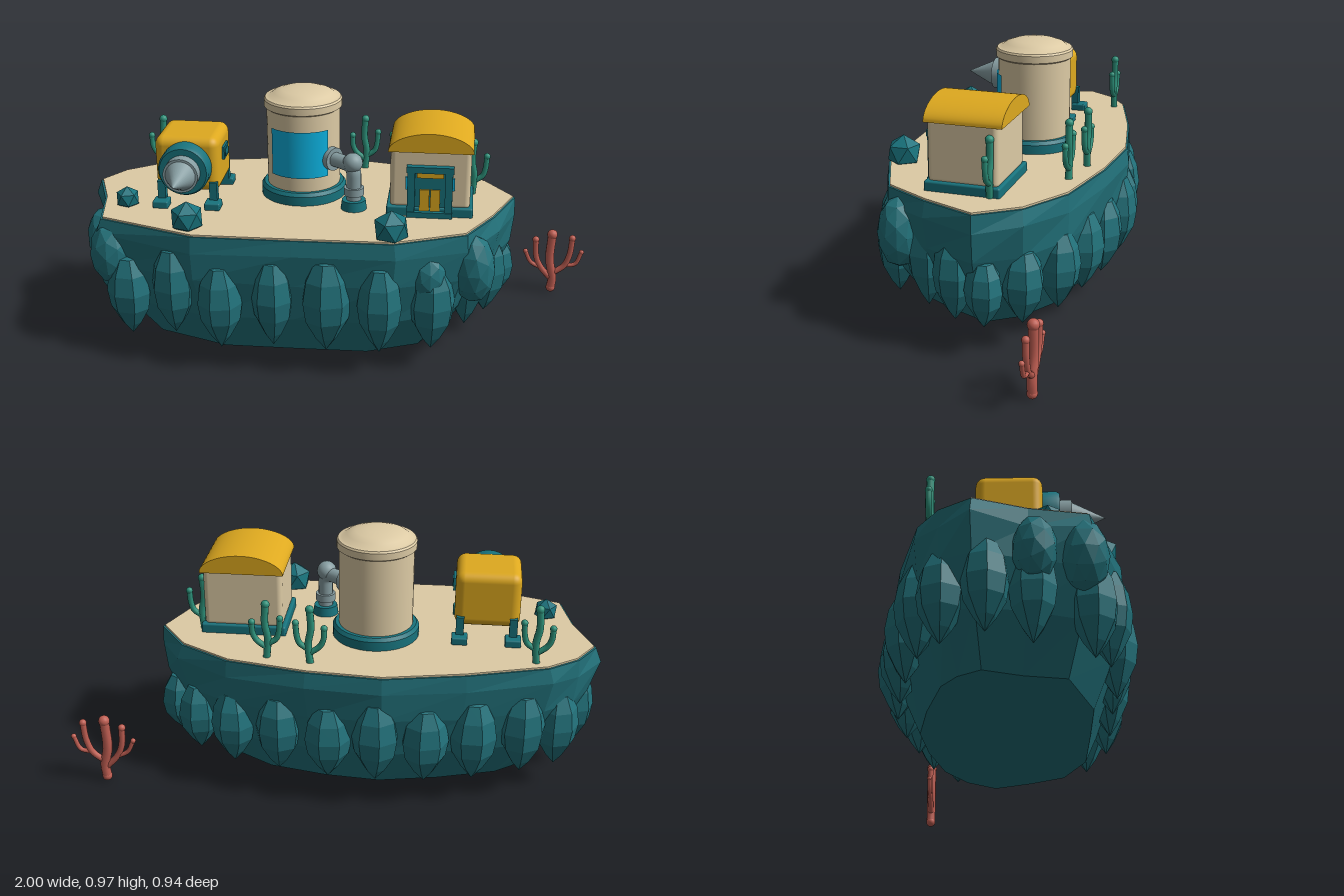
import * as THREE from 'three';
import { toCreasedNormals } from 'three/addons/utils/BufferGeometryUtils.js';
import { RoundedBoxGeometry } from 'three/addons/geometries/RoundedBoxGeometry.js';

const mat = (name, color) => Object.assign(new THREE.MeshStandardMaterial({ color }), { name });

export function createModel() {
  const M = {
    rock: mat('rock teal', 0x22717a), trim: mat('trim teal', 0x18737d),
    sand: mat('sand', 0xddcba5), yellow: mat('yellow', 0xdea91f),
    blue: mat('window blue', 0x0cb2e0), gray: mat('metal gray', 0x879ea2),
    green: mat('coral green', 0x2d927b), red: mat('coral red', 0xbf5e52),
  };
  const root = new THREE.Group();
  const group = (name, x = 0, y = 0, z = 0) => {
    const g = new THREE.Group();
    g.name = name;
    g.position.set(x, y, z);
    root.add(g);
    return g;
  };
  const add = (parent, name, geo, m, x = 0, y = 0, z = 0) => {
    const mesh = new THREE.Mesh(geo, m);
    mesh.name = name;
    mesh.position.set(x, y, z);
    parent.add(mesh);
    return mesh;
  };
  const box = (w, h, d) => new THREE.BoxGeometry(w, h, d);
  const cyl = (r0, r1, h, n = 32) => new THREE.CylinderGeometry(r0, r1, h, n);
  const lathe = (pts, n = 40) =>
    toCreasedNormals(new THREE.LatheGeometry(pts.map(p => new THREE.Vector2(...p)), n), 0.6);
  const facet = geo => {
    const g = geo.index ? geo.toNonIndexed() : geo;
    g.computeVertexNormals();
    return g;
  };

  // Island body: one outline scaled through several levels
  const CX = -0.15;
  const outline = [[-0.98, -0.1], [-0.91, -0.21], [-0.8, -0.29], [-0.5, -0.38], [-0.2, -0.44], [0.08, -0.42],
    [0.38, -0.36], [0.57, -0.25], [0.68, -0.1], [0.6, 0.1], [0.5, 0.28], [0.24, 0.39], [-0.13, 0.4],
    [-0.5, 0.405], [-0.87, 0.28], [-0.91, 0.08]];
  const N = outline.length;
  const levels = [[0.542, 1], [0.48, 1.015], [0.36, 0.985], [0.2, 0.9], [0.04, 0.735]];
  const rings = levels.map(([y, s], k) => outline.map(([x, z], i) => {
    const j = k === 0 || k === 4 ? 0 : 0.012 * Math.sin(i * 2.7 + k * 1.9);
    return [CX + (x - CX) * (s + j), y + (k === 0 ? 0 : j * 0.6), z * (s + j)];
  }));
  const tri = [];
  for (let i = 0; i < N; i++) {
    const n = (i + 1) % N;
    for (let k = 0; k < levels.length - 1; k++) {
      const a = rings[k], b = rings[k + 1];
      tri.push(b[n], b[i], a[i], b[n], a[i], a[n]);
    }
    tri.push([CX, 0.542, 0], rings[0][n], rings[0][i]);
    tri.push([CX, 0.036, 0], rings[4][i], rings[4][n]);
  }
  const body = new THREE.BufferGeometry();
  body.setAttribute('position', new THREE.Float32BufferAttribute(tri.flat(), 3));
  const island = group('island');
  add(island, 'islandBody', facet(body), M.rock);

  // Sand cover
  const sandShape = new THREE.Shape(outline.map(([x, z]) => new THREE.Vector2(CX + (x - CX) * 0.99, -z * 0.985)));
  const sandGeo = new THREE.ExtrudeGeometry(sandShape, { depth: 0.012, bevelEnabled: false });
  sandGeo.rotateX(-Math.PI / 2);
  add(island, 'sandTop', sandGeo, M.sand, 0, 0.537, 0);

  // Hanging rocks, blunt above and pointed below: x, z on the rim, centre height, half height, half width
  const shard = [[0, -1], [0.45, -0.7], [0.88, -0.3], [1, 0.1], [0.86, 0.55], [0.5, 0.92], [0, 1]]
    .map(p => new THREE.Vector2(...p));
  [[-0.81, 0.31, 0.24, 0.17, 0.09], [-0.61, 0.375, 0.3, 0.18, 0.085], [-0.42, 0.405, 0.255, 0.175, 0.085],
    [-0.21, 0.4, 0.28, 0.18, 0.08], [0, 0.4, 0.28, 0.19, 0.095], [0.21, 0.395, 0.27, 0.18, 0.085],
    [0.41, 0.32, 0.25, 0.17, 0.09], [0.54, 0.14, 0.295, 0.195, 0.085], [0.62, 0, 0.26, 0.165, 0.08],
    [0.66, -0.13, 0.23, 0.13, 0.07], [0.56, -0.25, 0.235, 0.145, 0.08], [0.4, -0.345, 0.25, 0.155, 0.085],
    [0.21, -0.39, 0.26, 0.16, 0.09], [0.01, -0.42, 0.25, 0.155, 0.09], [-0.18, -0.435, 0.27, 0.17, 0.09],
    [-0.37, -0.405, 0.25, 0.16, 0.09], [-0.56, -0.365, 0.26, 0.17, 0.09], [-0.75, -0.305, 0.27, 0.17, 0.09],
    [-0.89, -0.215, 0.25, 0.16, 0.085], [-0.96, -0.06, 0.26, 0.16, 0.08], [-0.91, 0.1, 0.25, 0.17, 0.08]]
    .forEach(([x, z, y, h, w], i) => {
      const rock = add(island, 'hangingRock', facet(new THREE.LatheGeometry(shard, 7, i * 0.4)), M.rock,
        CX + (x - CX) * 0.945, y, z * 0.935);
      rock.scale.set(w, h, 0.082);
      rock.rotation.y = Math.atan2((x - CX) / 0.69, z / 0.176);
    });

  // Rounded boulders under the rim
  [[-0.84, 0.4, 0.26, 0.085, 0.13], [0.53, 0.385, 0.23, 0.08, 0.135], [-0.91, 0.39, 0.1, 0.075, 0.12],
    [0.36, 0.38, 0.3, 0.07, 0.1]]
    .forEach(([x, y, z, r, h], i) => {
      const b = add(island, 'boulder', facet(new THREE.IcosahedronGeometry(1, 1)), M.rock, x, y, z);
      b.scale.set(r, h, r);
      b.rotation.y = i * 1.3;
    });

  // Loose stones on the sand, point up
  [[-0.525, 0.587, 0.333, 0.064], [0.225, 0.582, 0.333, 0.069], [-0.8, 0.575, 0.145, 0.047]]
    .forEach(([x, y, z, r]) => add(island, 'stone', new THREE.IcosahedronGeometry(r, 0), M.trim, x, y, z)
      .geometry.rotateZ(0.5536));

  // Storage tower
  const tower = group('tower', -0.147, 0, -0.07);
  add(tower, 'towerBase', lathe([[0, 0.54], [0.165, 0.54], [0.165, 0.585], [0.155, 0.598], [0, 0.598]]), M.trim);
  add(tower, 'towerBody', lathe([[0.141, 0.59], [0.141, 0.9], [0.15, 0.906], [0.15, 0.933], [0.145, 0.94],
    [0.13, 0.942], [0.112, 0.956], [0.08, 0.967], [0.04, 0.972], [0, 0.973]], 48), M.sand);
  const pane = new THREE.CylinderGeometry(0.147, 0.147, 0.185, 24, 1, true, -0.82, 1.64);
  M.blue.side = THREE.DoubleSide;
  add(tower, 'towerWindow', pane, M.blue, 0, 0.747, 0);

  // Outlet pipe leaving the tower and bending down to the ground
  const pipe = group('pipe');
  const start = new THREE.Vector3(-0.04, 0.72, 0.005), end = new THREE.Vector3(0.065, 0.72, 0.085);
  const dir = end.clone().sub(start).normalize();
  const bend = new THREE.CurvePath();
  const near = end.clone().addScaledVector(dir, -0.04), down = end.clone().setY(0.68);
  bend.add(new THREE.LineCurve3(start, near));
  bend.add(new THREE.QuadraticBezierCurve3(near, end, down));
  bend.add(new THREE.LineCurve3(down, end.clone().setY(0.56)));
  add(pipe, 'pipeTube', new THREE.TubeGeometry(bend, 40, 0.028, 16), M.gray);
  const flange = add(pipe, 'pipeFlange', cyl(0.045, 0.045, 0.025), M.gray);
  flange.position.copy(start).addScaledVector(dir, 0.02);
  flange.quaternion.setFromUnitVectors(new THREE.Vector3(0, 1, 0), dir);
  add(pipe, 'pipeElbow', new THREE.SphereGeometry(0.038, 20, 14), M.gray, 0.06, 0.73, 0.081);
  add(pipe, 'pipeCollar', cyl(0.038, 0.038, 0.03), M.gray, 0.065, 0.62, 0.085);
  add(pipe, 'pipeFoot', cyl(0.045, 0.05, 0.04), M.trim, 0.065, 0.565, 0.085);

  // House
  const house = group('house', 0.354, 0, 0);
  add(house, 'houseBase', new RoundedBoxGeometry(0.325, 0.045, 0.285, 2, 0.008), M.trim, 0, 0.563, -0.005);
  add(house, 'houseWalls', new RoundedBoxGeometry(0.3, 0.24, 0.265, 3, 0.02), M.sand, 0, 0.695, -0.005);
  const arch = new THREE.Shape();
  arch.moveTo(-0.158, 0.8);
  arch.lineTo(0.158, 0.8);
  arch.bezierCurveTo(0.162, 0.835, 0.09, 0.874, 0, 0.874);
  arch.bezierCurveTo(-0.09, 0.874, -0.162, 0.835, -0.158, 0.8);
  const roof = new THREE.ExtrudeGeometry(arch, { depth: 0.29, bevelEnabled: false, curveSegments: 14 });
  add(house, 'houseRoof', toCreasedNormals(roof, 0.6), M.yellow, 0, 0, -0.155);

  // Doorway: recessed panel, posts, lintel, side lights and door leaves
  add(house, 'doorPanel', box(0.14, 0.18, 0.012), M.trim, 0, 0.64, 0.126);
  for (const s of [-1, 1]) {
    add(house, 'doorPost', box(0.028, 0.18, 0.024), M.trim, s * 0.07, 0.635, 0.138);
    add(house, 'doorLight', box(0.009, 0.048, 0.012), M.blue, s * 0.087, 0.678, 0.132);
    add(house, 'doorLeaf', box(0.036, 0.085, 0.008), M.yellow, s * 0.02, 0.613, 0.134);
  }
  add(house, 'doorLintel', box(0.175, 0.024, 0.03), M.trim, 0, 0.738, 0.138);
  add(house, 'doorTransom', box(0.1, 0.022, 0.008), M.yellow, 0, 0.713, 0.134);
  add(house, 'doorStep', box(0.17, 0.025, 0.02), M.trim, 0, 0.558, 0.145);

  // Drilling machine
  const drill = group('drillMachine', -0.567, 0, 0);
  add(drill, 'machineBody', new RoundedBoxGeometry(0.246, 0.215, 0.235, 4, 0.035), M.yellow, 0, 0.712, 0.012);
  for (const sx of [-1, 1]) {
    for (const z of [-0.12, 0.145]) {
      add(drill, 'machineLeg', box(0.03, 0.085, 0.03), M.trim, sx * 0.1, 0.605, z * 0.85);
      add(drill, 'machineFoot', new RoundedBoxGeometry(0.06, 0.03, 0.06, 2, 0.006), M.trim, sx * 0.1, 0.562, z);
    }
  }
  add(drill, 'sideHatch', box(0.014, 0.05, 0.075), M.trim, 0.125, 0.738, 0.02);
  add(drill, 'sideHatchPanel', box(0.004, 0.028, 0.05), M.trim, 0.133, 0.738, 0.02);
  const bit = new THREE.Group();
  bit.name = 'drillBit';
  bit.position.set(0, 0.708, 0);
  bit.rotation.x = Math.PI / 2;
  drill.add(bit);
  add(bit, 'drillRing', lathe([[0, 0.12], [0.097, 0.12], [0.097, 0.178], [0.09, 0.19], [0, 0.19]]), M.trim);
  add(bit, 'drillCollar', cyl(0.066, 0.066, 0.045), M.gray, 0, 0.21, 0);
  add(bit, 'drillCone', new THREE.ConeGeometry(0.058, 0.123, 32), M.gray, 0, 0.292, 0);

  // Branching corals, flat in z: each branch is [radius, ...points]
  const branches = [
    [0.021, [0, 0.02], [0.004, 0.07], [-0.012, 0.15], [-0.008, 0.266]],
    [0.014, [0, 0.06], [-0.045, 0.11], [-0.068, 0.16], [-0.075, 0.24]],
    [0.014, [0, 0.085], [0.05, 0.125], [0.07, 0.18], [0.076, 0.252]],
    [0.01, [-0.045, 0.11], [-0.09, 0.135], [-0.115, 0.185]],
    [0.01, [0.05, 0.125], [0.095, 0.135], [0.118, 0.19]],
  ];
  const coral = (name, m, x, y, z, side, list) => {
    const g = group(name, x, y, z);
    list.forEach(([r, ...pts]) => {
      const path = new THREE.CatmullRomCurve3(pts.map(([px, py]) => new THREE.Vector3(px * side, py, 0)));
      add(g, 'coralBranch', new THREE.TubeGeometry(path, 16, r * 0.88, 10), m);
      const tip = path.getPoint(1), foot = path.getPoint(0);
      add(g, 'coralTip', new THREE.SphereGeometry(r * 1.04, 14, 10), m, tip.x, tip.y, 0);
      add(g, 'coralJoint', new THREE.SphereGeometry(r * 0.94, 14, 10), m, foot.x, foot.y, 0);
    });
  };
  coral('redCoral', M.red, 0.868, 0, -0.377, 1, branches);
  const small = [
    [0.0155, [0, 0], [0.006, 0.08], [-0.004, 0.14], [0, 0.215]],
    [0.0125, [0.003, 0.04], [-0.036, 0.07], [-0.05, 0.1], [-0.052, 0.142]],
    [0.0125, [0.004, 0.055], [0.038, 0.08], [0.048, 0.11], [0.052, 0.16]],
  ];
  [[-0.75, -0.255, 1], [0.07, -0.345, 1], [0.235, -0.318, -1], [0.512, -0.11, 1]].forEach(([x, z, s]) =>
    coral('greenCoral', M.green, x, 0.545, z, s, small));
  return root;
}
